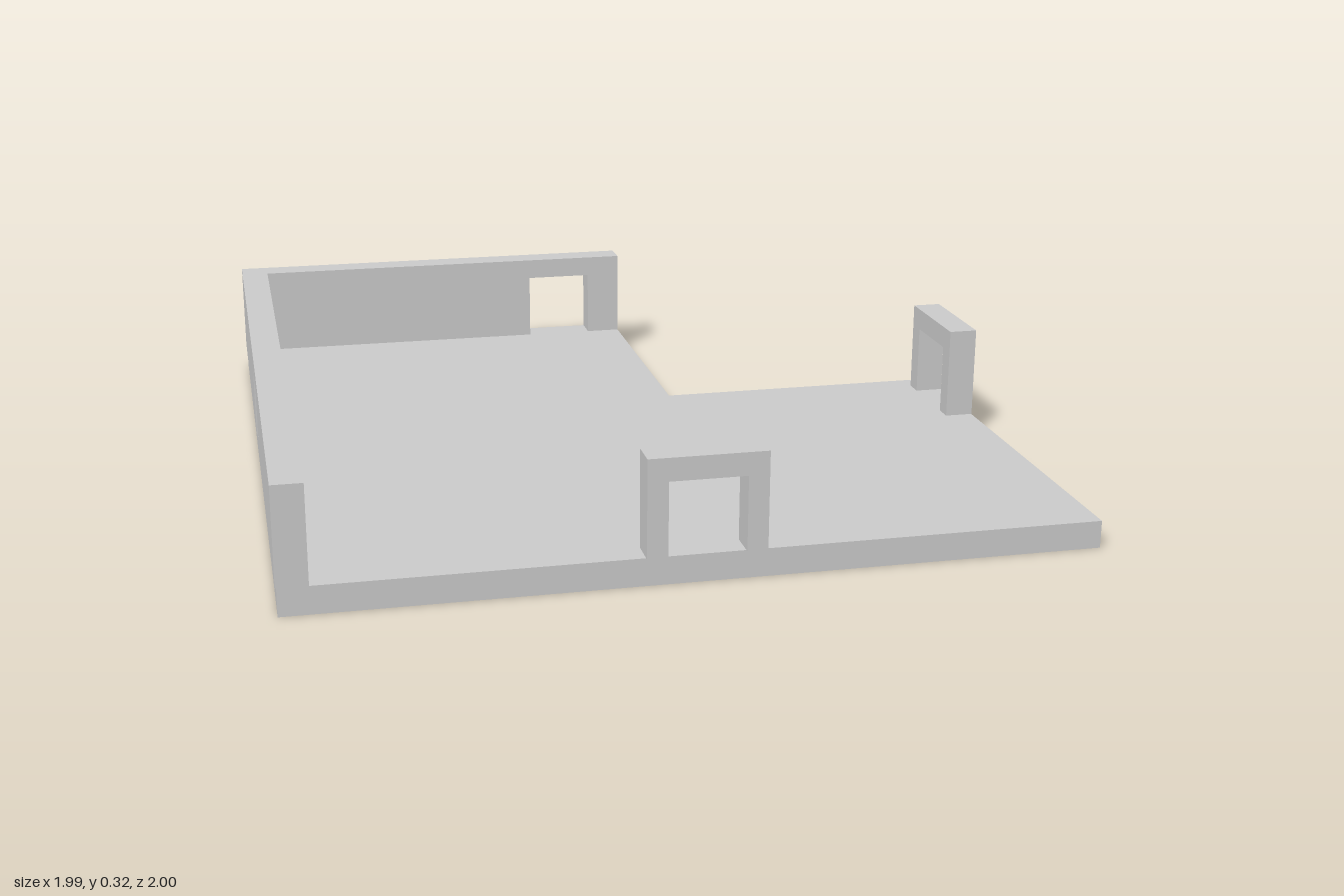
import * as THREE from 'three';

const FLOOR = 0.07, TOP = 0.316, LINTEL = 0.258, DOOR = 0.095, THICK = 0.076;

export function createModel() {
  const group = new THREE.Group();
  const material = new THREE.MeshStandardMaterial({ color: 0xcccccc, flatShading: true });

  const outline = (pts) => new THREE.Shape(pts.map(([x, y]) => new THREE.Vector2(x, y)));
  const extrude = (shape, depth) => new THREE.ExtrudeGeometry(shape, { depth, bevelEnabled: false });
  const add = (name, geometry) => {
    const mesh = new THREE.Mesh(geometry, material);
    mesh.name = name;
    group.add(mesh);
    return mesh;
  };

  // Wall from a to b with a doorway around 0, standing on the floor slab
  const doorWall = (a, b) => extrude(outline([
    [a, FLOOR], [-DOOR, FLOOR], [-DOOR, LINTEL], [DOOR, LINTEL],
    [DOOR, FLOOR], [b, FLOOR], [b, TOP], [a, TOP],
  ]), THICK);

  // L-shaped floor slab (shape y becomes -z)
  const floor = extrude(outline([
    [-0.994, -0.992], [0.992, -0.992], [0.992, 0.2],
    [0.193, 0.2], [0.193, 0.997], [-0.994, 0.997],
  ]), FLOOR);
  add('floor', floor.rotateX(-Math.PI / 2));

  // Back wall and front door frame run along x
  add('backWall', doorWall(-0.997, 0.193)).position.z = -1;
  add('frontDoorFrame', doorWall(-0.146, 0.146)).position.z = 1 - THICK;

  // Side wall and side door frame run along z (shape x becomes -z)
  add('sideWall', doorWall(-0.992, 1).rotateY(Math.PI / 2)).position.x = -0.997;
  add('sideDoorFrame', doorWall(-0.144, 0.146).rotateY(Math.PI / 2)).position.x = 0.993 - THICK;

  return group;
}
